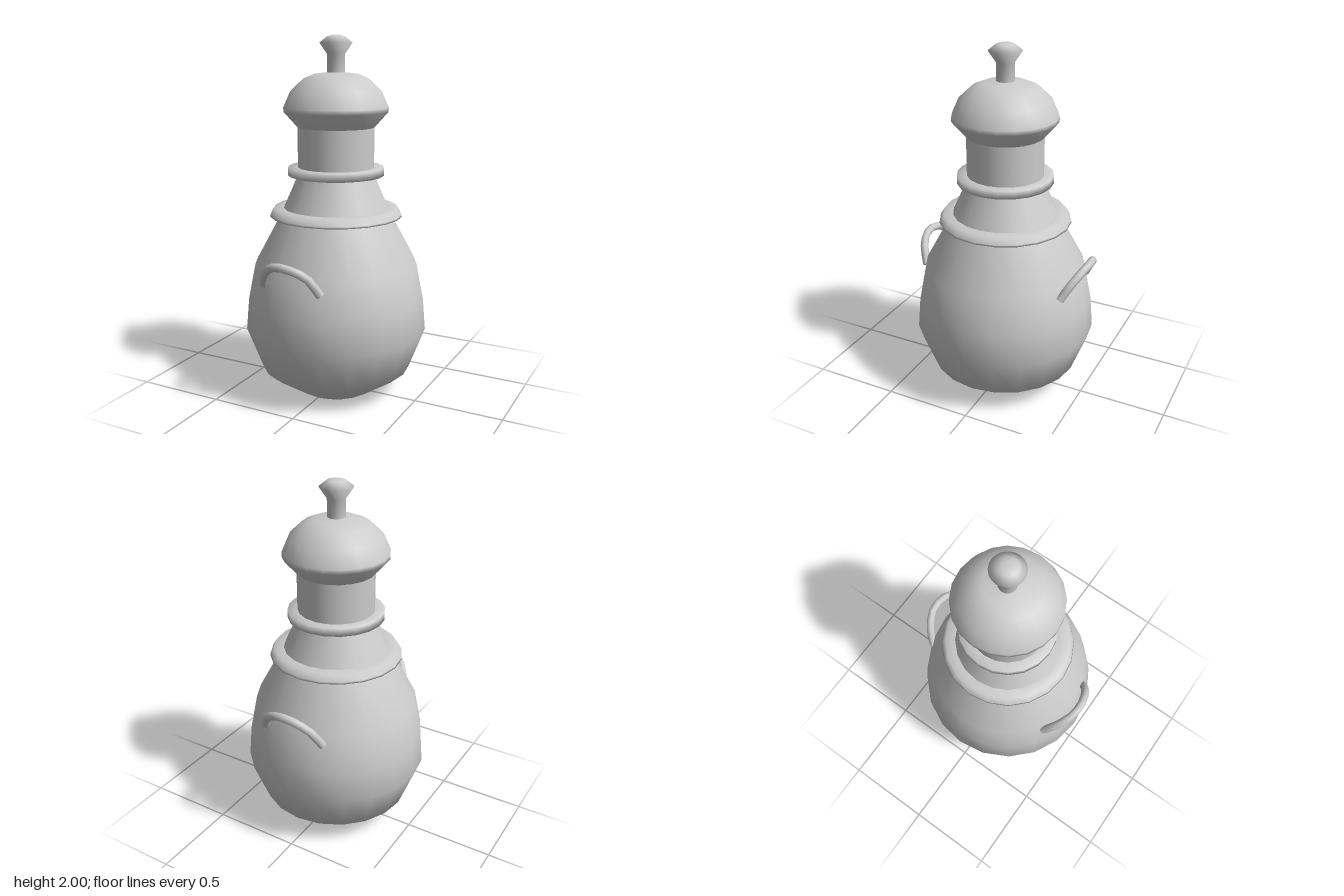
import * as THREE from 'three';

const CENTRE_Z = -0.005;
const SIDES = 20;

export function createModel() {
  const group = new THREE.Group();
  const material = new THREE.MeshStandardMaterial({ color: 0xcccccc, side: THREE.DoubleSide });

  const add = (name, geometry, parent = group) => {
    const mesh = new THREE.Mesh(geometry, material);
    mesh.name = name;
    parent.add(mesh);
    return mesh;
  };

  // Turned parts: profiles of [radius, height] from bottom to top
  const turned = (name, profile) => {
    const points = profile.map(([r, y]) => new THREE.Vector2(r, y));
    add(name, new THREE.LatheGeometry(points, SIDES)).position.z = CENTRE_Z;
  };

  turned('base', [[0, 0], [0.22, 0]]);
  turned('belly', [[0.22, 0], [0.425, 0.14], [0.513, 0.37], [0.497, 0.55], [0.457, 0.75], [0.305, 1.03]]);
  turned('lowerRim', [[0.28, 1.02], [0.37, 1.02], [0.367, 1.03], [0.345, 1.065], [0.28, 1.065]]);
  turned('shoulder', [[0.295, 1.06], [0.25, 1.16], [0.212, 1.25]]);
  turned('upperRim', [[0.2, 1.245], [0.266, 1.245], [0.266, 1.29], [0.2, 1.29]]);
  turned('neck', [[0.212, 1.25], [0.212, 1.51]]);
  turned('lid', [[0.212, 1.51], [0.288, 1.595], [0.288, 1.62], [0.25, 1.705], [0.18, 1.77], [0.12, 1.795], [0, 1.81]]);
  turned('knob', [[0.049, 1.79], [0.049, 1.9], [0.09, 1.96], [0.05, 1.992], [0.025, 2], [0, 2]]);

  // Arched handles: a bent rod with flat ends
  const handle = (name, points) => {
    const part = new THREE.Group();
    part.name = name;
    group.add(part);
    const curve = new THREE.CatmullRomCurve3(points.map((p) => new THREE.Vector3(...p)));
    add('rod', new THREE.TubeGeometry(curve, 10, 0.023, 8), part);
    for (const t of [0, 1]) {
      const cap = add('rodEnd', new THREE.CircleGeometry(0.023, 8), part);
      cap.position.copy(curve.getPointAt(t));
      const outward = curve.getTangentAt(t).multiplyScalar(t ? 1 : -1);
      cap.quaternion.setFromUnitVectors(new THREE.Vector3(0, 0, 1), outward);
    }
  };

  handle('frontHandle', [
    [-0.228, 0.69, 0.405], [-0.18, 0.775, 0.46], [-0.1, 0.827, 0.505],
    [-0.005, 0.827, 0.513], [0.085, 0.785, 0.485], [0.138, 0.69, 0.44],
  ]);
  handle('backHandle', [
    [-0.175, 0.7, -0.432], [-0.13, 0.79, -0.477], [-0.045, 0.852, -0.517],
    [0.055, 0.852, -0.517], [0.15, 0.79, -0.475], [0.197, 0.7, -0.425],
  ]);

  return group;
}
